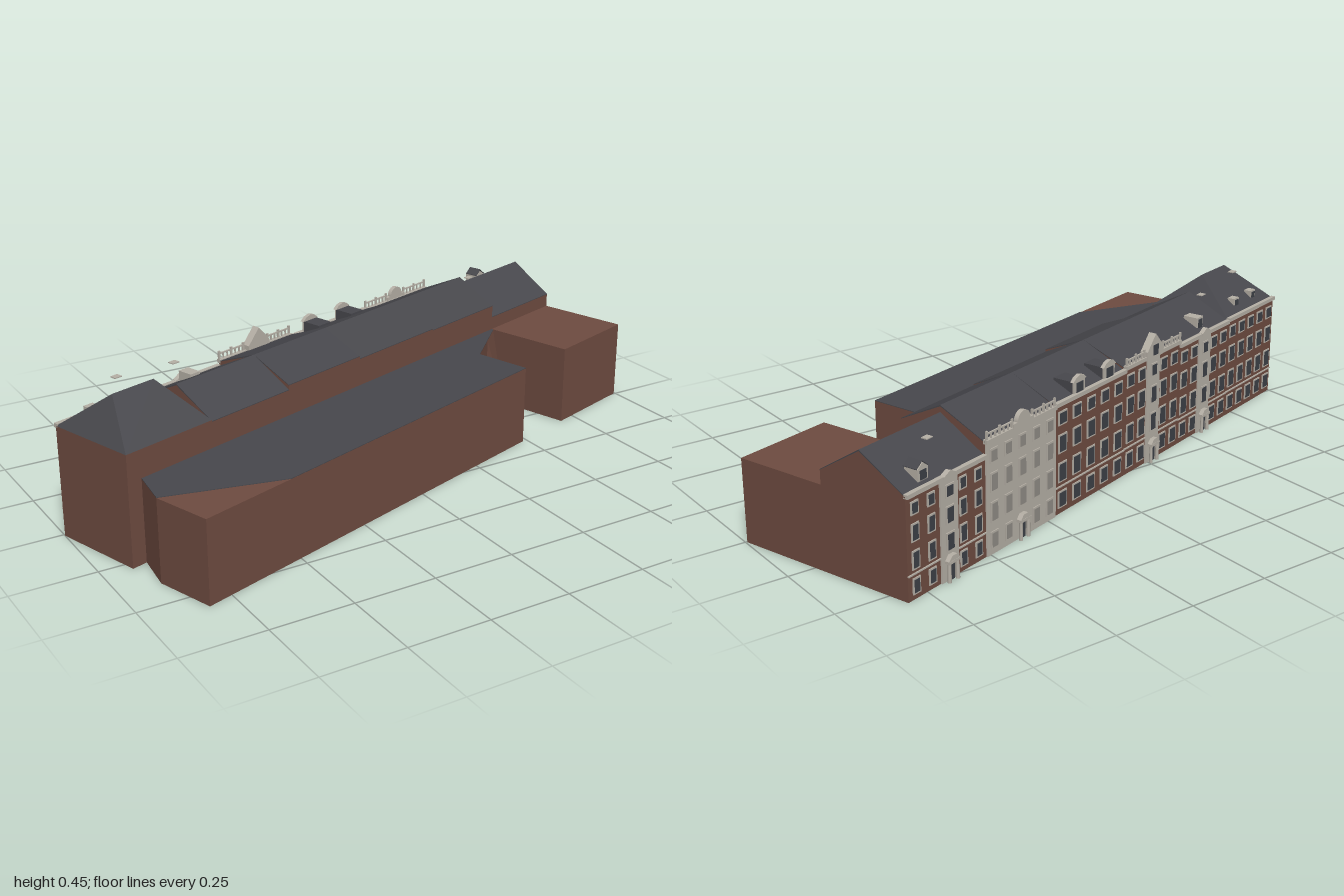
import * as THREE from 'three';
import { mergeGeometries } from 'three/addons/utils/BufferGeometryUtils.js';

const mat = (name, color, extra = {}) => {
  const m = new THREE.MeshStandardMaterial({ color, ...extra });
  m.name = name;
  return m;
};

export function createModel() {
  const brick = mat('brick', 0x6e4b40, { side: THREE.DoubleSide });
  const slate = mat('slate', 0x47474c);
  const stone = mat('stone', 0xb5afa5);
  const glass = mat('glass', 0x3d4047);
  const paleGlass = mat('paleGlass', 0x8f8b84);

  const model = new THREE.Group();
  // Terrace frame: x runs along the street, -z faces the street
  const terrace = new THREE.Group();
  terrace.name = 'terrace';
  terrace.position.set(-1, 0, 0.007);
  terrace.rotation.y = 0.3025;
  model.add(terrace);

  const add = (parent, name, geo, material) => {
    const m = new THREE.Mesh(geo, material);
    m.name = name;
    parent.add(m);
  };
  const box = (w, h, d, x, y, z) => new THREE.BoxGeometry(w, h, d).translate(x, y, z);
  const extrude = (pts, depth) => new THREE.ExtrudeGeometry(
    new THREE.Shape(pts.map(p => new THREE.Vector2(p[0], p[1]))), { depth, bevelEnabled: false });
  // Cross-section (z, y) swept along the street from s0 to s1
  const sweep = (pts, s0, s1) => extrude(pts, s1 - s0).rotateY(-Math.PI / 2).translate(s1, 0, 0);
  // Ground plan (x, z) raised between two heights
  const raise = (pts, y0, y1) =>
    extrude(pts.map(([x, z]) => [x, -z]), y1 - y0).rotateX(-Math.PI / 2).translate(0, y0, 0);
  // Elevation (x, y) as an upright plate
  const plate = (pts, t, x, y, z) => extrude(pts, t).translate(x, y, z);
  const triangles = pts => {
    const g = new THREE.BufferGeometry();
    g.setAttribute('position', new THREE.Float32BufferAttribute(pts.flat(2), 3));
    g.computeVertexNormals();
    return g;
  };

  const D = 0.29, R = 0.15;
  // start, end, eaves, ridge of each house
  const houses = [
    [0, 0.307, 0.335, 0.445], [0.307, 0.611, 0.33, 0.405], [0.611, 0.92, 0.345, 0.405],
    [0.92, 1.274, 0.337, 0.405], [1.274, 1.589, 0.333, 0.405], [1.589, 1.908, 0.294, 0.385],
  ];
  houses.forEach(([a, b, e, r], i) => {
    if (i === 0) {
      add(terrace, 'endHouseWalls', box(b, e, D, b / 2, e / 2, D / 2), brick);
      const A = [0, e, 0], B = [b, e, 0], C = [b, e, D], E = [0, e, D];
      const P = [0.08, r, R], Q = [0.226, r, R];
      add(terrace, 'hippedRoof', triangles([
        [E, C, Q], [E, Q, P], [B, A, P], [B, P, Q], [A, E, P], [C, B, Q]]), slate);
      return;
    }
    add(terrace, 'houseWalls', sweep([[0, 0], [D, 0], [D, e], [R, r - 0.004], [0, e]], a, b), brick);
    add(terrace, 'gabledRoof', sweep([[0, e], [R, r - 0.004], [D, e], [D, e + 0.002],
      [R, r], [0, e + 0.002]], a, b), slate);
  });

  // Low rear hall, tucked under the terrace, with a slanted wall towards the wing
  const hall = [[-0.862, 0.2], [-0.868, 0.27], [-0.882, 0.395], [-0.825, 0.57],
    [0.484, 0.158], [0.432, -0.017], [0.635, -0.212]];
  add(model, 'rearHall', raise(hall, 0, 0.25), brick);
  add(model, 'rearHallRoof',
    raise([...hall.slice(0, 3), [-0.53, 0.477], ...hall.slice(4)], 0.25, 0.252), slate);
  const top = [0.53, 0.25, -0.111], foot = [0.625, 0, -0.135];
  add(model, 'slantedWall', triangles([[top, [0.53, 0, -0.111], foot],
    [top, foot, [0.612, 0.25, -0.19]]]), brick);
  add(terrace, 'rearWing', box(0.319, 0.252, 0.3, 1.7485, 0.126, 0.435), brick);

  // Street front: collected by material
  const trim = [], panes = [], palePanes = [];
  const windowAt = (x, y, w, h, list, t = 0) => {
    trim.push(box(w + 0.01, h + 0.01, 0.003, x, y, -0.0015 - t));
    list.push(box(w, h, 0.002, x, y, -0.0035 - t));
  };
  // relative window rows: centre height, height
  const rows = [[0.13, 0.125], [0.38, 0.15], [0.64, 0.14], [0.87, 0.095]];
  const bays = { 1: 0.46, 2: 0.767, 5: 1.744 };
  const paneWidths = [0.029, 0.029, 0.029, 0.031, 0.024, 0.02];
  houses.forEach(([a, b, e], i) => {
    const n = 5, step = (b - a) / n, bay = bays[i], stoneHouse = i === 4;
    if (stoneHouse) trim.push(box(b - a, e, 0.004, (a + b) / 2, e / 2, -0.002));
    for (let c = 0; c < n; c++) {
      const x = a + step * (c + 0.5);
      if (bay && Math.abs(x - bay) < 0.045) continue;
      for (const [y, h] of rows)
        windowAt(x, y * e, paneWidths[i], h * e, stoneHouse ? palePanes : panes, stoneHouse ? 0.004 : 0);
    }
    // cornice and string course
    trim.push(box(b - a, 0.012, 0.014, (a + b) / 2, e + 0.001, -0.001));
    trim.push(box(b - a, 0.004, 0.004, (a + b) / 2, e * 0.25, -0.002));
    // stone entrance bay
    if (bay) {
      trim.push(box(0.07, e, 0.005, bay, e / 2, -0.0025));
      for (const [y, h] of rows.slice(1)) windowAt(bay, y * e, 0.024, h * e, panes, 0.005);
    }
  });

  // Entrance porches
  for (const x of [0.46, 0.767, 1.435, 1.744]) {
    for (const s of [-1, 1]) trim.push(
      new THREE.CylinderGeometry(0.005, 0.006, 0.055, 8).translate(x + s * 0.017, 0.0275, -0.014));
    trim.push(box(0.046, 0.008, 0.02, x, 0.058, -0.01));
    trim.push(plate([[-0.023, 0], [0.023, 0], [0.01, 0.014], [-0.01, 0.014]], 0.016, x, 0.062, -0.019));
    panes.push(box(0.022, 0.05, 0.004, x, 0.026, -0.007));
  }

  // Parapet crowns above the entrance bays
  const gable = (x, y, w, h, t) => trim.push(plate(
    [[-w / 2, 0], [w / 2, 0], [w / 2, h * 0.35], [0, h], [-w / 2, h * 0.35]], t, x, y, -0.01));
  gable(0.767, 0.34, 0.09, 0.075, 0.025);
  panes.push(box(0.026, 0.032, 0.003, 0.767, 0.365, -0.011));
  gable(0.46, 0.33, 0.05, 0.022, 0.015);
  gable(1.744, 0.294, 0.05, 0.018, 0.015);
  trim.push(box(0.09, 0.016, 0.014, 1.43, 0.342, -0.003));
  trim.push(new THREE.CylinderGeometry(0.028, 0.028, 0.014, 12, 1, false, -Math.PI / 2, Math.PI)
    .rotateX(-Math.PI / 2).translate(1.43, 0.35, -0.003));

  // Balustrades
  for (const [a, b, y] of [[0.615, 0.715, 0.347], [0.82, 0.915, 0.347], [1.28, 1.385, 0.335], [1.475, 1.585, 0.335]]) {
    trim.push(box(b - a, 0.004, 0.005, (a + b) / 2, y + 0.022, -0.003));
    for (let k = 0; k <= 6; k++) {
      const post = k % 3 === 0, h = post ? 0.03 : 0.022;
      trim.push(box(post ? 0.007 : 0.003, h, 0.005, a + (b - a) * k / 6, y + h / 2, -0.003));
    }
  }

  // Slate dormers with curved stone heads
  const slates = [];
  for (const x of [1.0, 1.152]) {
    const w = 0.055, h = 0.04;
    trim.push(box(w, h, 0.006, x, 0.358, 0.005));
    panes.push(box(w * 0.6, h * 0.75, 0.003, x, 0.358, 0.001));
    slates.push(box(w, h, 0.065, x, 0.358, 0.0405));
    trim.push(plate([[-0.033, 0], [0.033, 0], [0.019, 0.012], [0, 0.017], [-0.019, 0.012]], 0.012, x, 0.378, 0));
  }

  // Small stone dormers with flat tops: x, sill height, z, width, height, depth
  for (const [x, y, z, w, h, d] of [[0.446, 0.335, 0.025, 0.036, 0.042, 0.05],
    [0.09, 0.345, 0.03, 0.032, 0.034, 0.025], [0.202, 0.345, 0.03, 0.032, 0.034, 0.025]]) {
    trim.push(box(w, h, d, x, y + h / 2, z + d / 2));
    panes.push(box(w * 0.6, h * 0.7, 0.003, x, y + h / 2, z - 0.001));
  }

  // Gabled stone dormer at the far end
  trim.push(plate([[-0.02, 0], [0.02, 0], [0.02, 0.034], [0, 0.05], [-0.02, 0.034]], 0.045, 1.82, 0.305, 0.016));
  panes.push(box(0.024, 0.026, 0.003, 1.82, 0.322, 0.015));
  slates.push(plate([[-0.022, 0.034], [0, 0.051], [0.022, 0.034], [0.022, 0.036], [0, 0.054], [-0.022, 0.036]],
    0.045, 1.82, 0.305, 0.018));

  // Small vent caps over the roofs
  for (const [x, y, z] of [[0.158, 0.452, 0.075], [0.376, 0.428, 0.065], [1.706, 0.364, 0.098]])
    trim.push(box(0.024, 0.003, 0.02, x, y, z));

  const merged = list => mergeGeometries(list.map(g => (g.index ? g.toNonIndexed() : g)));
  add(terrace, 'stoneTrim', merged(trim), stone);
  add(terrace, 'windowPanes', merged(panes), glass);
  add(terrace, 'stoneHousePanes', merged(palePanes), paleGlass);
  add(terrace, 'dormerRoofs', merged(slates), slate);
  return model;
}
